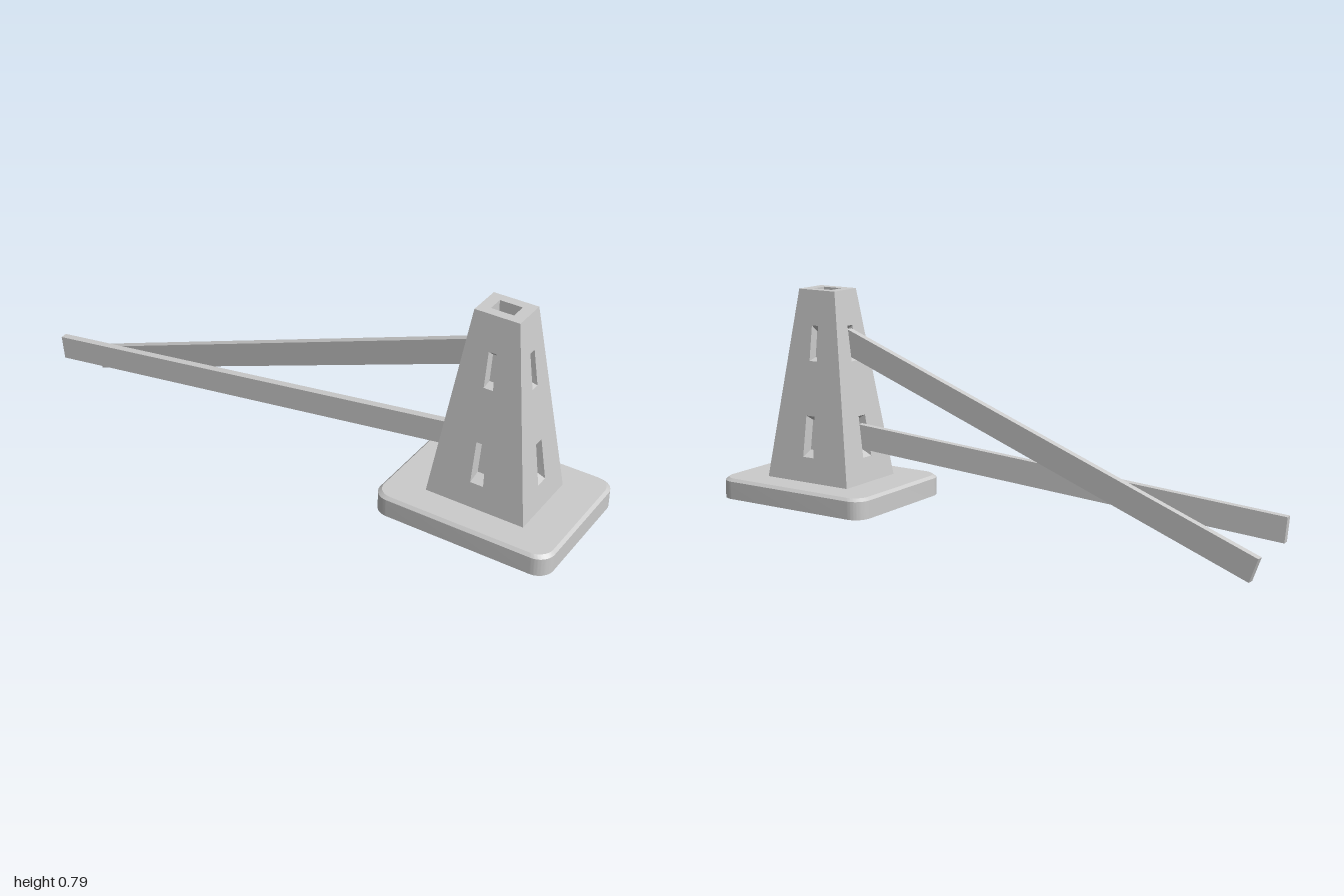
import * as THREE from 'three';
import { mergeGeometries, toCreasedNormals } from 'three/addons/utils/BufferGeometryUtils.js';

const CX = 0.6875, SLAB_BOTTOM = 0.05, SLAB_TOP = 0.123, TOP = 0.79;
const material = new THREE.MeshStandardMaterial({ color: 0xcccccc });

function addMesh(parent, geometry, name) {
  const mesh = new THREE.Mesh(geometry, material);
  mesh.name = name;
  parent.add(mesh);
  return mesh;
}

const toPoints = (list) => list.map(([u, v]) => new THREE.Vector2(u, v));

// Trapezoid outline, counter-clockwise from the bottom left
const trapezoid = (y0, y1, half0, half1) => [[-half0, y0], [half0, y0], [half1, y1], [-half1, y1]];

// Flat panel with recessed pockets; map(u, v, depth) places a point in space
function panel(outline, pockets, map) {
  const shape = new THREE.Shape(toPoints(outline));
  for (const p of pockets) shape.holes.push(new THREE.Path(toPoints(p.rim)));
  const face = new THREE.ShapeGeometry(shape).toNonIndexed();
  const source = face.attributes.position;
  const out = [];
  for (let i = 0; i < source.count; i++) out.push(...map(source.getX(i), source.getY(i), 0));
  const quad = (a, b, c, d) => out.push(...a, ...b, ...c, ...a, ...c, ...d);
  for (const { rim, floor, depth } of pockets) {
    const a = rim.map(([u, v]) => map(u, v, 0));
    const b = floor.map(([u, v]) => map(u, v, depth));
    for (let i = 0; i < 4; i++) {
      const j = (i + 1) % 4;
      quad(a[i], a[j], b[j], b[i]);
    }
    quad(...b);
  }
  const geometry = new THREE.BufferGeometry();
  geometry.setAttribute('position', new THREE.Float32BufferAttribute(out, 3));
  geometry.computeVertexNormals();
  return geometry;
}

// Base slab: rounded rectangle with a chamfered top edge
function slabGeometry() {
  const w = 0.3125, d = 0.242, r = 0.055, bevel = 0.01;
  const shape = new THREE.Shape();
  shape.absarc(w - r, d - r, r, 0, Math.PI / 2);
  shape.absarc(r - w, d - r, r, Math.PI / 2, Math.PI);
  shape.absarc(r - w, r - d, r, Math.PI, Math.PI * 1.5);
  shape.absarc(w - r, r - d, r, Math.PI * 1.5, Math.PI * 2);
  const height = SLAB_TOP - SLAB_BOTTOM;
  const g = new THREE.ExtrudeGeometry(shape, { depth: height, steps: 2, bevelEnabled: false, curveSegments: 8 });
  const p = g.attributes.position;
  for (let i = 0; i < p.count; i++) {
    const z = p.getZ(i);
    if (z > height * 0.9) p.setXY(i, p.getX(i) * (1 - bevel / w), p.getY(i) * (1 - bevel / d));
    else if (z > height * 0.1) p.setZ(i, height - bevel);
  }
  g.rotateX(-Math.PI / 2);
  g.translate(0, SLAB_BOTTOM, 0);
  return toCreasedNormals(g, 0.5);
}

// Tapered body: four sloped panels with two slots each, and a socket on top
function bodyGeometry() {
  const half = { x: [0.175, 0.0775], z: [0.135, 0.06] };
  const slots = [
    { rim: trapezoid(0.21, 0.355, 0.023, 0.018), floor: trapezoid(0.23, 0.335, 0.018, 0.015), depth: 0.035 },
    { rim: trapezoid(0.545, 0.668, 0.016, 0.0135), floor: trapezoid(0.554, 0.645, 0.0135, 0.0125), depth: 0.03 },
  ];
  const parts = [];
  for (let k = 0; k < 4; k++) {
    const [width, reach] = k % 2 ? [half.z, half.x] : [half.x, half.z];
    const offset = (y) => THREE.MathUtils.mapLinear(y, SLAB_TOP, TOP, reach[0], reach[1]);
    const side = panel(trapezoid(SLAB_TOP, TOP, ...width), slots, (u, v, d) => [u, v, offset(v) - d]);
    parts.push(side.rotateY(k * Math.PI / 2));
  }
  const socket = trapezoid(-0.028, 0.028, 0.039, 0.039);
  parts.push(panel(
    trapezoid(-half.z[1], half.z[1], half.x[1], half.x[1]),
    [{ rim: socket, floor: socket, depth: 0.04 }],
    (u, v, d) => [u, TOP - d, -v],
  ));
  return mergeGeometries(parts);
}

// Straight plank between two points, standing on its narrow edge
function addPlank(parent, name, from, to) {
  const a = new THREE.Vector3(...from), b = new THREE.Vector3(...to);
  const dir = b.clone().sub(a);
  const mesh = addMesh(parent, new THREE.BoxGeometry(dir.length(), 0.085, 0.025), name);
  mesh.position.copy(a).add(b).multiplyScalar(0.5);
  mesh.rotation.order = 'YZX';
  mesh.rotation.y = Math.atan2(-dir.z, dir.x);
  mesh.rotation.z = Math.atan2(dir.y, Math.hypot(dir.x, dir.z));
}

export function createModel() {
  const model = new THREE.Group();
  model.name = 'barrierPost';

  const post = new THREE.Group();
  post.name = 'post';
  post.position.x = CX;
  addMesh(post, slabGeometry(), 'baseSlab');
  addMesh(post, bodyGeometry(), 'taperedBody');
  model.add(post);

  // Planks resting in the slots of the right face
  addPlank(model, 'upperPlank', [-0.955, 0.04, 0], [0.61, 0.616, 0]);
  addPlank(model, 'lowerPlank', [-0.995, 0.142, 0.14], [0.56, 0.281, 0.003]);
  return model;
}
